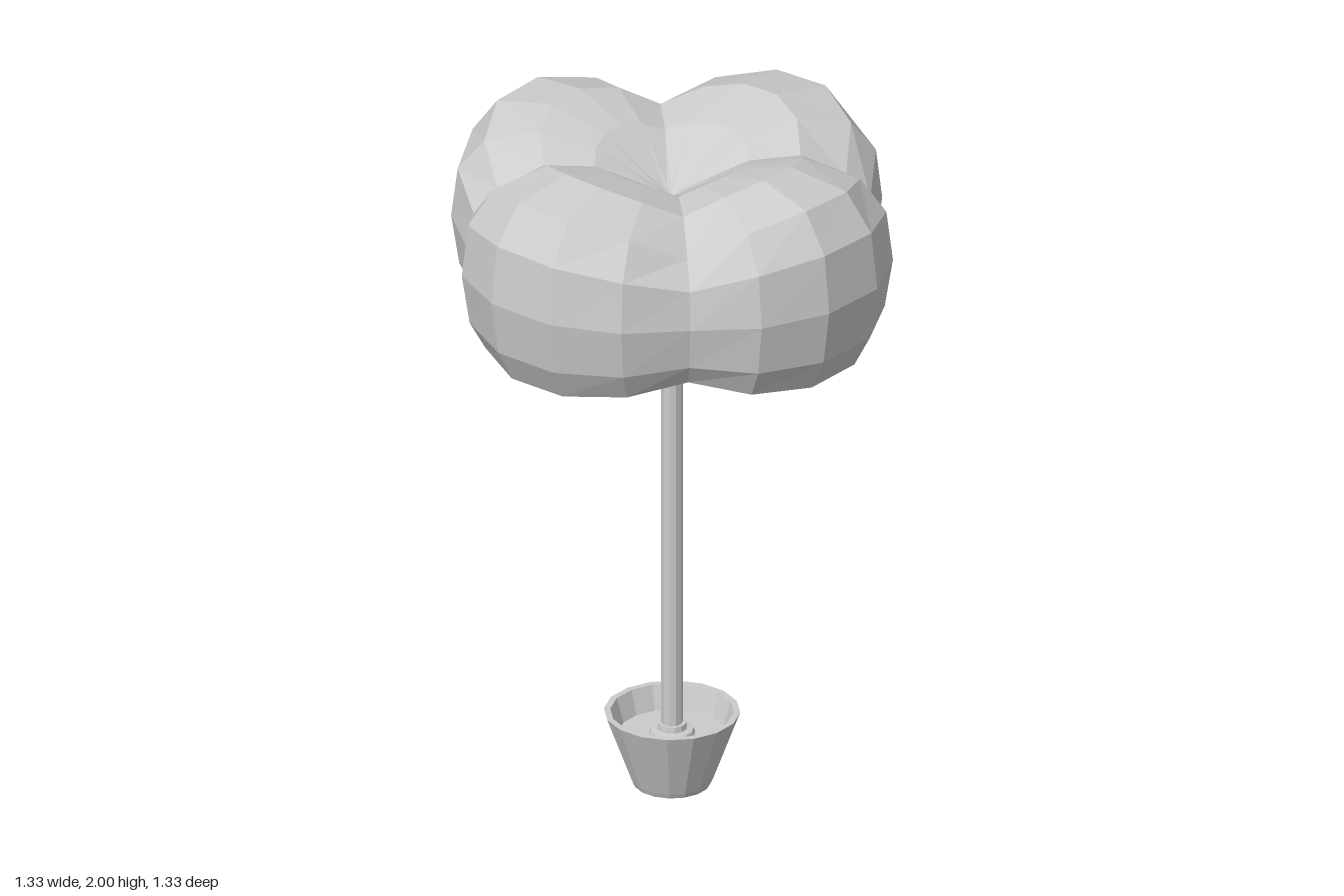
import * as THREE from 'three';

const material = new THREE.MeshStandardMaterial({ color: 0xcccccc, flatShading: true, side: THREE.DoubleSide });

function addPart(group, name, geometry) {
  const mesh = new THREE.Mesh(geometry, material);
  mesh.name = name;
  group.add(mesh);
  return mesh;
}

function lathe(points, sides) {
  return new THREE.LatheGeometry(points.map(([r, y]) => new THREE.Vector2(r, y)), sides);
}

// Four-lobed cushion: one lobe is five steps, repeated around the axis
function cushionGeometry() {
  const lobe = [0.66, 0.66, 0.625, 0.566, 0.63].map((r) => r / 0.665);
  const notch = [0, 0.05, 0.4, 1, 0.3];
  // radius, height on the lobe, height in the notch, how much the outline is lobed
  const rings = [
    [0.595, 1.435, 1.48, 1],
    [0.645, 1.53, 1.545, 1],
    [0.67, 1.69, 1.67, 1],
    [0.65, 1.86, 1.78, 1],
    [0.57, 1.97, 1.85, 1],
    [0.388, 2.0, 1.92, 0.5],
    [0.22, 1.95, 1.91, 0.2],
    [0.035, 1.83, 1.83, 0],
  ];
  const n = 20;
  const positions = [];
  for (const [radius, high, low, lobed] of rings) {
    for (let i = 0; i < n; i++) {
      const a = (i / n) * Math.PI * 2;
      const r = radius * (1 + (lobe[i % 5] - 1) * lobed);
      positions.push(r * Math.cos(a), high + (low - high) * notch[i % 5], -r * Math.sin(a));
    }
  }
  const bottom = positions.length / 3;
  positions.push(0, 1.45, 0, 0, 1.81, 0);
  const index = [];
  const last = (rings.length - 1) * n;
  for (let i = 0; i < n; i++) {
    const k = (i + 1) % n;
    for (let j = 0; j < last; j += n) {
      index.push(j + i, j + k, j + n + k, j + i, j + n + k, j + n + i);
    }
    index.push(bottom, k, i, bottom + 1, last + i, last + k);
  }
  const geometry = new THREE.BufferGeometry();
  geometry.setAttribute('position', new THREE.Float32BufferAttribute(positions, 3));
  geometry.setIndex(index);
  geometry.computeVertexNormals();
  return geometry;
}

export function createModel() {
  const group = new THREE.Group();

  addPart(group, 'crown', cushionGeometry());

  // Hollow tapered pot with a thin rim and a filled floor
  addPart(group, 'pot', lathe([
    [0, 0], [0.108, 0], [0.115, 0.015], [0.19, 0.22], [0.172, 0.22], [0.15, 0.15], [0, 0.15],
  ], 16));

  // Stepped collar where the pole enters the pot
  addPart(group, 'baseCollar', lathe([[0.065, 0.15], [0.06, 0.165], [0.042, 0.168], [0.04, 0.185], [0.028, 0.185]], 12));

  const pole = addPart(group, 'pole', new THREE.CylinderGeometry(0.03, 0.03, 1.23, 10));
  pole.position.y = 0.765;

  // Flared socket under the crown
  addPart(group, 'topCollar', lathe([
    [0.028, 1.37], [0.036, 1.37], [0.058, 1.395], [0.085, 1.395], [0.085, 1.46], [0, 1.46],
  ], 10));

  return group;
}
